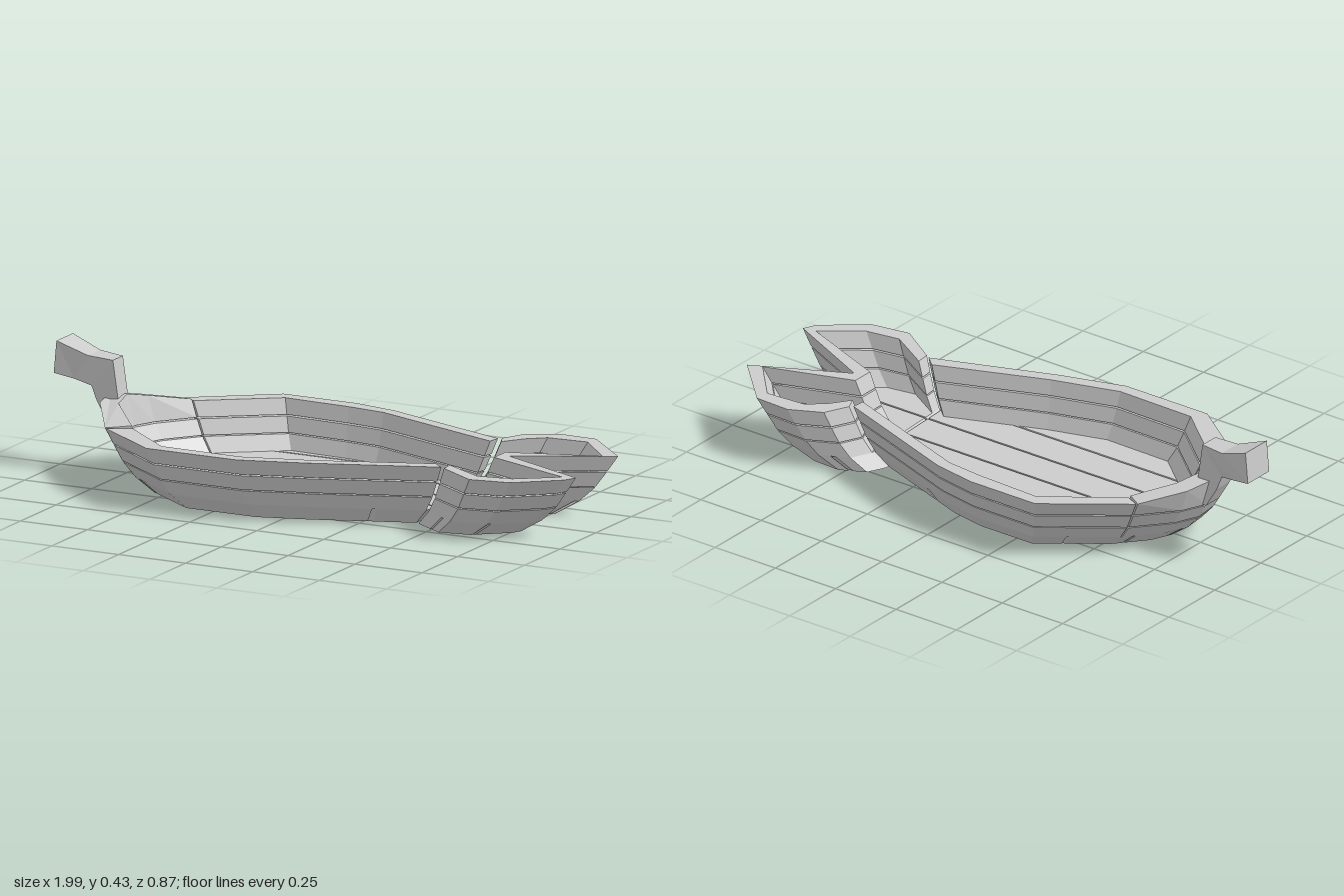
import * as THREE from 'three';

const material = new THREE.MeshStandardMaterial({ color: 0xcccccc, flatShading: true, side: THREE.DoubleSide });

// Rim outlines as [x, z], outer and inner, running from joint to joint
const bodyOuter = [[0.51, -0.235], [0.03, -0.41], [-0.13, -0.44], [-0.40, -0.44], [-0.67, -0.24], [-0.78, -0.11],
  [-0.82, -0.02], [-0.81, 0.08], [-0.70, 0.25], [-0.45, 0.43], [-0.115, 0.43], [0.11, 0.36], [0.53, 0.20]];
const bodyInner = [[0.505, -0.19], [0.01, -0.37], [-0.13, -0.385], [-0.37, -0.395], [-0.62, -0.215], [-0.72, -0.09],
  [-0.755, -0.01], [-0.745, 0.07], [-0.62, 0.21], [-0.42, 0.38], [-0.125, 0.385], [0.11, 0.315], [0.49, 0.165]];
const tailOuter = [[0.52, -0.245], [0.56, -0.33], [0.67, -0.385], [0.80, -0.38], [0.975, -0.205],
  [0.655, -0.04], [0.99, 0.12], [0.97, 0.165], [0.83, 0.28], [0.69, 0.305], [0.545, 0.21]];
const tailInner = [[0.54, -0.20], [0.59, -0.27], [0.65, -0.32], [0.795, -0.33], [0.925, -0.185],
  [0.62, -0.08], [0.62, 0.0], [0.945, 0.13], [0.81, 0.23], [0.69, 0.25], [0.54, 0.16]];

// The hull flares outward: outline scale at each height
const flare = [[0, 0.78], [0.05, 0.865], [0.1, 0.92], [0.155, 0.96], [0.212, 1]];
function scaleAt(y) {
  for (let i = 1; i < flare.length; i++) {
    const [y0, s0] = flare[i - 1], [y1, s1] = flare[i];
    if (y <= y1 + 1e-6) return s0 + (s1 - s0) * (y - y0) / (y1 - y0);
  }
  return 1;
}

// Flat outline raised from y0 to y1 and flared; raise(z) lifts its top edge
function slab(name, points, y0, y1, raise = () => 0) {
  const shape = new THREE.Shape(points.map(([x, z]) => new THREE.Vector2(x, -z)));
  const geo = new THREE.ExtrudeGeometry(shape, { depth: y1 - y0, bevelEnabled: false });
  geo.rotateX(-Math.PI / 2).translate(0, y0, 0);
  const p = geo.attributes.position;
  for (let i = 0; i < p.count; i++) {
    const y = p.getY(i), s = scaleAt(y), z = p.getZ(i) * s;
    p.setXYZ(i, p.getX(i) * s, y > (y0 + y1) / 2 ? y + raise(z) : y, z);
  }
  geo.computeVertexNormals();
  const mesh = new THREE.Mesh(geo, material);
  mesh.name = name;
  return mesh;
}

// Keep the part of a polygon where side * (z - limit) >= 0
function clip(points, limit, side) {
  const out = [];
  points.forEach((a, i) => {
    const b = points[(i + 1) % points.length];
    const da = side * (a[1] - limit), db = side * (b[1] - limit);
    if (da >= 0) out.push(a);
    if (da * db < 0) {
      const t = da / (da - db);
      out.push([a[0] + (b[0] - a[0]) * t, limit]);
    }
  });
  return out;
}

// Section of a wall between two outline points, trimmed slightly at board breaks
function wallOutline(outer, inner, from, to) {
  const cut = (line) => {
    const part = line.slice(from, to + 1).map((q) => [...q]);
    const trim = (end, next) => {
      const d = Math.hypot(next[0] - end[0], next[1] - end[1]);
      for (const k of [0, 1]) end[k] += (next[k] - end[k]) * 0.003 / d;
    };
    if (from > 0) trim(part[0], part[1]);
    if (to < line.length - 1) trim(part[part.length - 1], part[part.length - 2]);
    return part;
  };
  return [...cut(outer), ...cut(inner).reverse()];
}

// Rectangular bar through sections [x, y, x, y, zMin, zMax]
function bar(name, sections) {
  const rings = sections.map(([xa, ya, xb, yb, z0, z1]) =>
    [[xa, ya, z0], [xa, ya, z1], [xb, yb, z1], [xb, yb, z0]]);
  const v = [];
  const quad = (a, b, c, d) => v.push(...a, ...b, ...c, ...a, ...c, ...d);
  for (let i = 0; i + 1 < rings.length; i++) {
    for (let k = 0; k < 4; k++) {
      const n = (k + 1) % 4;
      quad(rings[i][k], rings[i][n], rings[i + 1][n], rings[i + 1][k]);
    }
  }
  const last = rings[rings.length - 1];
  quad(rings[0][3], rings[0][2], rings[0][1], rings[0][0]);
  quad(last[0], last[1], last[2], last[3]);
  const geo = new THREE.BufferGeometry();
  geo.setAttribute('position', new THREE.Float32BufferAttribute(v, 3));
  geo.computeVertexNormals();
  const mesh = new THREE.Mesh(geo, material);
  mesh.name = name;
  return mesh;
}

export function createModel() {
  const model = new THREE.Group();
  model.name = 'fishShapedTray';

  // Floor planks with narrow slits between them
  const seams = [-1, -0.36, -0.2, -0.04, 0.115, 0.27, 1];
  const floor = new THREE.Group();
  floor.name = 'floor';
  for (const [name, outline] of [['bodyPlank', bodyOuter], ['tailPlank', tailOuter]]) {
    for (let i = 0; i + 1 < seams.length; i++) {
      const strip = clip(clip(outline, seams[i] + 0.004, 1), seams[i + 1] - 0.004, -1);
      if (strip.length > 2) floor.add(slab(name, strip, 0, 0.05));
    }
  }
  model.add(floor);

  // Three rows of wall boards; the top row rises at the head
  const rows = [[0.05, 0.1], [0.104, 0.155], [0.16, 0.212]];
  const headRise = (z) => 0.055 * (1 - Math.min(1, Math.abs(z) / 0.24));
  const walls = new THREE.Group();
  walls.name = 'walls';
  rows.forEach(([y0, y1], r) => {
    walls.add(slab('rightWallBoard', wallOutline(bodyOuter, bodyInner, 0, 4), y0, y1));
    walls.add(slab('headWallBoard', wallOutline(bodyOuter, bodyInner, 4, 8), y0, y1, r === 2 ? headRise : undefined));
    walls.add(slab('leftWallBoard', wallOutline(bodyOuter, bodyInner, 8, 12), y0, y1));
    walls.add(slab('tailWallBoard', wallOutline(tailOuter, tailInner, 0, 10), y0, y1));
  });
  model.add(walls);

  // Upright stem bending into a flared handle
  model.add(bar('headHandle', [
    [-0.80, 0.165, -0.73, 0.165, -0.035, 0.035],
    [-0.845, 0.24, -0.765, 0.25, -0.035, 0.035],
    [-0.865, 0.29, -0.785, 0.385, -0.035, 0.035],
    [-0.93, 0.305, -0.88, 0.39, -0.055, 0.033],
    [-1.0, 0.32, -0.99, 0.43, -0.07, 0.046],
  ]));
  return model;
}
